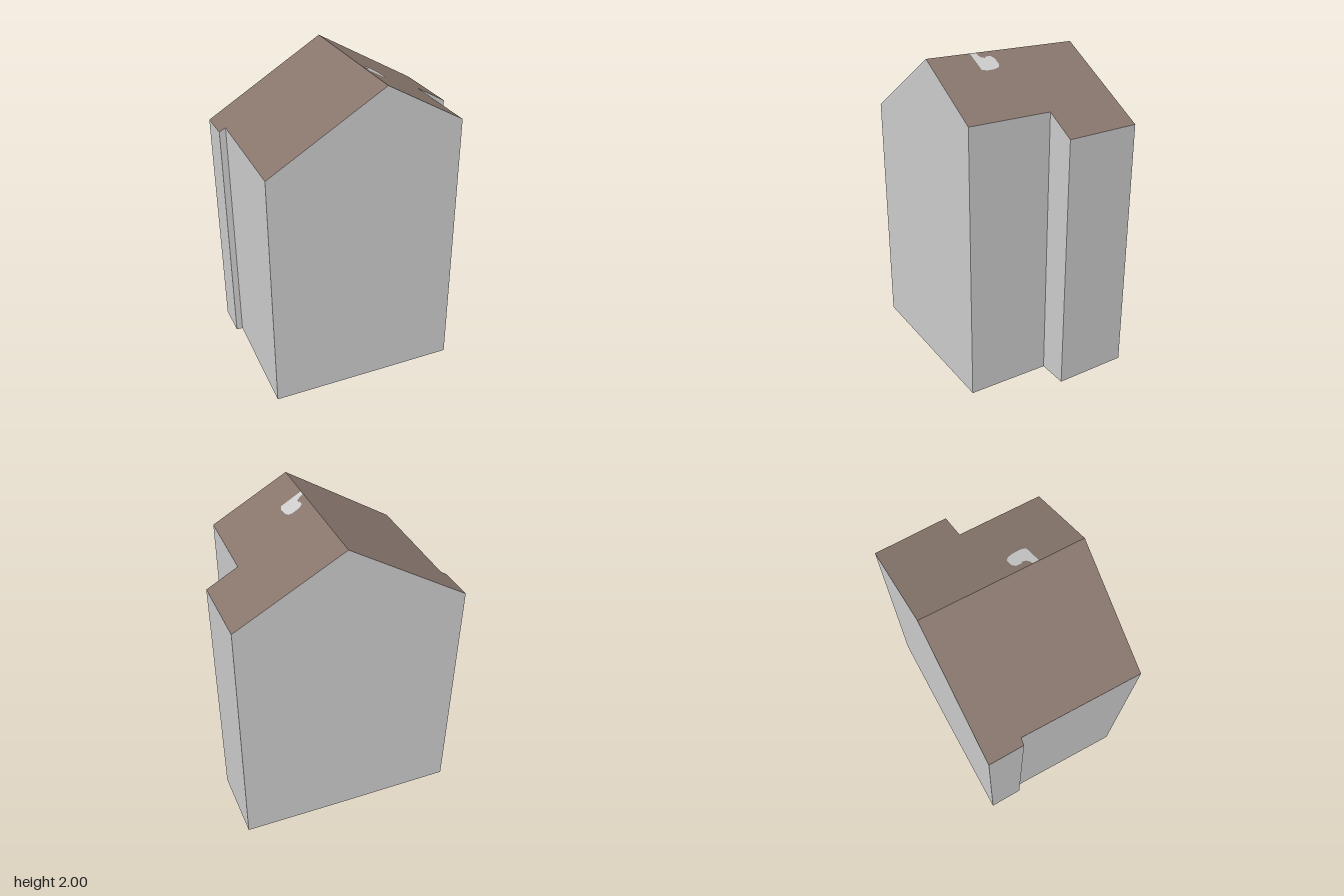
import * as THREE from 'three';

// Plan corners (x, z), anticlockwise seen from above
const ridgeFront = [0.005, 0.51], ridgeBack = [0.05, -0.505];
const leftPlan = [ridgeBack, [-0.715, -0.535], [-0.72, -0.31], [-0.68, -0.305], [-0.715, 0.475], ridgeFront];
const rightPlan = [ridgeFront, [0.492, 0.533], [0.512, -0.003], [0.708, 0.005], [0.715, -0.475], ridgeBack];
const patchPlan = [
  [0.021, 0.225], [0.148, 0.225], [0.16, 0.195], [0.16, 0.14], [0.15, 0.105], [0.13, 0.092], [0.085, 0.092],
  [0.063, 0.107], [0.06, 0.14], [0.07, 0.15], [0.062, 0.172], [0.045, 0.182], [0.023, 0.187],
];

// Roof height falls off on both sides of the slightly turned ridge
function roofHeight(x, z) {
  const t = (z - ridgeFront[1]) / (ridgeBack[1] - ridgeFront[1]);
  const d = x - (ridgeFront[0] + t * (ridgeBack[0] - ridgeFront[0]));
  return 2 - (d > 0 ? 0.565 * d : -0.604 * d);
}

// Flat plan lifted onto the roof slope
function roofSurface(plan, lift = 0) {
  const shape = new THREE.Shape(plan.map(([x, z]) => new THREE.Vector2(x, -z)));
  const geo = new THREE.ShapeGeometry(shape).rotateX(-Math.PI / 2);
  const pos = geo.attributes.position;
  for (let i = 0; i < pos.count; i++) pos.setY(i, roofHeight(pos.getX(i), pos.getZ(i)) + lift);
  geo.computeVertexNormals();
  return geo;
}

// Upright faces following the plan up to the roof
function wallSurface(plan) {
  const v = [];
  plan.forEach(([px, pz], i) => {
    const [qx, qz] = plan[(i + 1) % plan.length];
    const ph = roofHeight(px, pz), qh = roofHeight(qx, qz);
    v.push(px, 0, pz, qx, 0, qz, qx, qh, qz, px, 0, pz, qx, qh, qz, px, ph, pz);
  });
  const geo = new THREE.BufferGeometry();
  geo.setAttribute('position', new THREE.Float32BufferAttribute(v, 3));
  geo.computeVertexNormals();
  return geo;
}

export function createModel() {
  const group = new THREE.Group();
  group.name = 'house';
  const wallGrey = new THREE.MeshStandardMaterial({ color: 0xcccccc });
  wallGrey.name = 'wall grey';
  const roofBrown = new THREE.MeshStandardMaterial({ color: 0x88766d });
  roofBrown.name = 'roof brown';

  const add = (name, geo, mat) => {
    const mesh = new THREE.Mesh(geo, mat);
    mesh.name = name;
    group.add(mesh);
  };

  const outline = [...rightPlan, ...leftPlan.slice(1, -1)];
  add('walls', wallSurface(outline), wallGrey);

  // Underside
  const base = new THREE.Shape(outline.map(([x, z]) => new THREE.Vector2(x, z)));
  add('floor', new THREE.ShapeGeometry(base).rotateX(Math.PI / 2), wallGrey);

  add('leftSlopeRoof', roofSurface(leftPlan), roofBrown);
  add('rightSlopeRoof', roofSurface(rightPlan), roofBrown);
  // Pale spot beside the ridge
  add('roofPatch', roofSurface(patchPlan, 0.002), wallGrey);
  return group;
}
